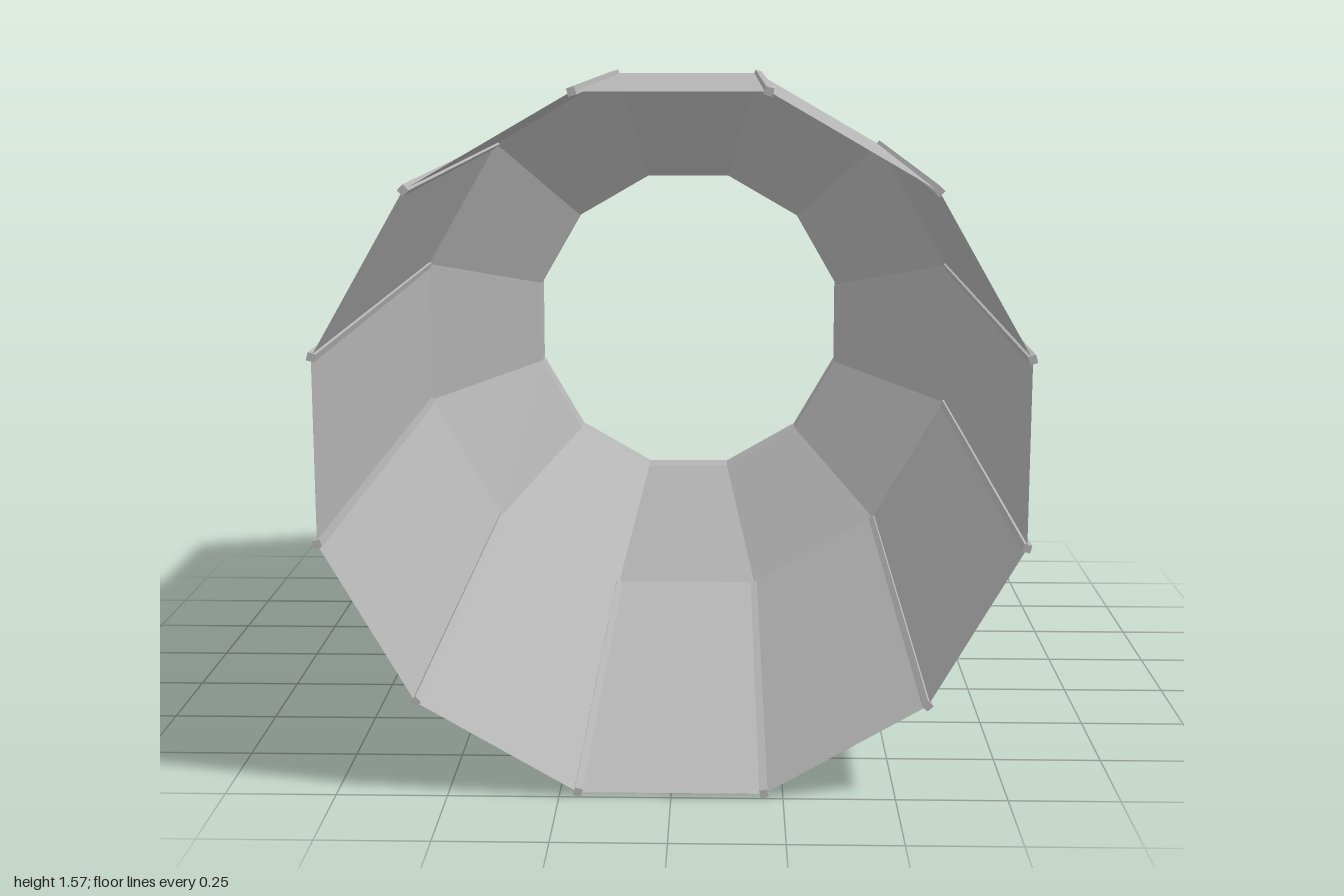
import * as THREE from 'three';

const SIDES = 12;
const R = 0.802;        // corner radius of the main shell
const NECK_R = 0.474;   // corner radius of the rear neck
const CENTER_Y = 0.787;

export function createModel() {
  const model = new THREE.Group();
  model.name = 'facetedTube';

  const metal = new THREE.MeshStandardMaterial({ color: 0xb4b4b4 });
  metal.name = 'grey metal';
  metal.flatShading = true;
  metal.side = THREE.DoubleSide;

  // Open twelve-sided section running from zFront to zBack
  function section(name, rFront, rBack, zFront, zBack) {
    const geo = new THREE.CylinderGeometry(rBack, rFront, zFront - zBack, SIDES, 1, true, Math.PI / SIDES);
    geo.rotateX(-Math.PI / 2);
    const mesh = new THREE.Mesh(geo, metal);
    mesh.name = name;
    mesh.position.set(0, CENTER_Y, (zFront + zBack) / 2);
    model.add(mesh);
  }
  section('shell', R, R, 1, -0.7);
  section('shoulder', R, NECK_R, -0.7, -0.92);
  section('neck', NECK_R, NECK_R, -0.92, -1);

  // Thin square ribs along every corner of the shell
  const ribs = new THREE.Group();
  ribs.name = 'ribs';
  const ribGeo = new THREE.BoxGeometry(0.018, 0.018, 1.68);
  for (let i = 0; i < SIDES; i++) {
    const a = ((i + 0.5) / SIDES) * Math.PI * 2;
    const rib = new THREE.Mesh(ribGeo, metal);
    rib.name = 'rib' + (i + 1);
    rib.position.set(Math.cos(a) * R, CENTER_Y + Math.sin(a) * R, 0.16);
    rib.rotation.z = a;
    ribs.add(rib);
  }
  model.add(ribs);

  return model;
}
